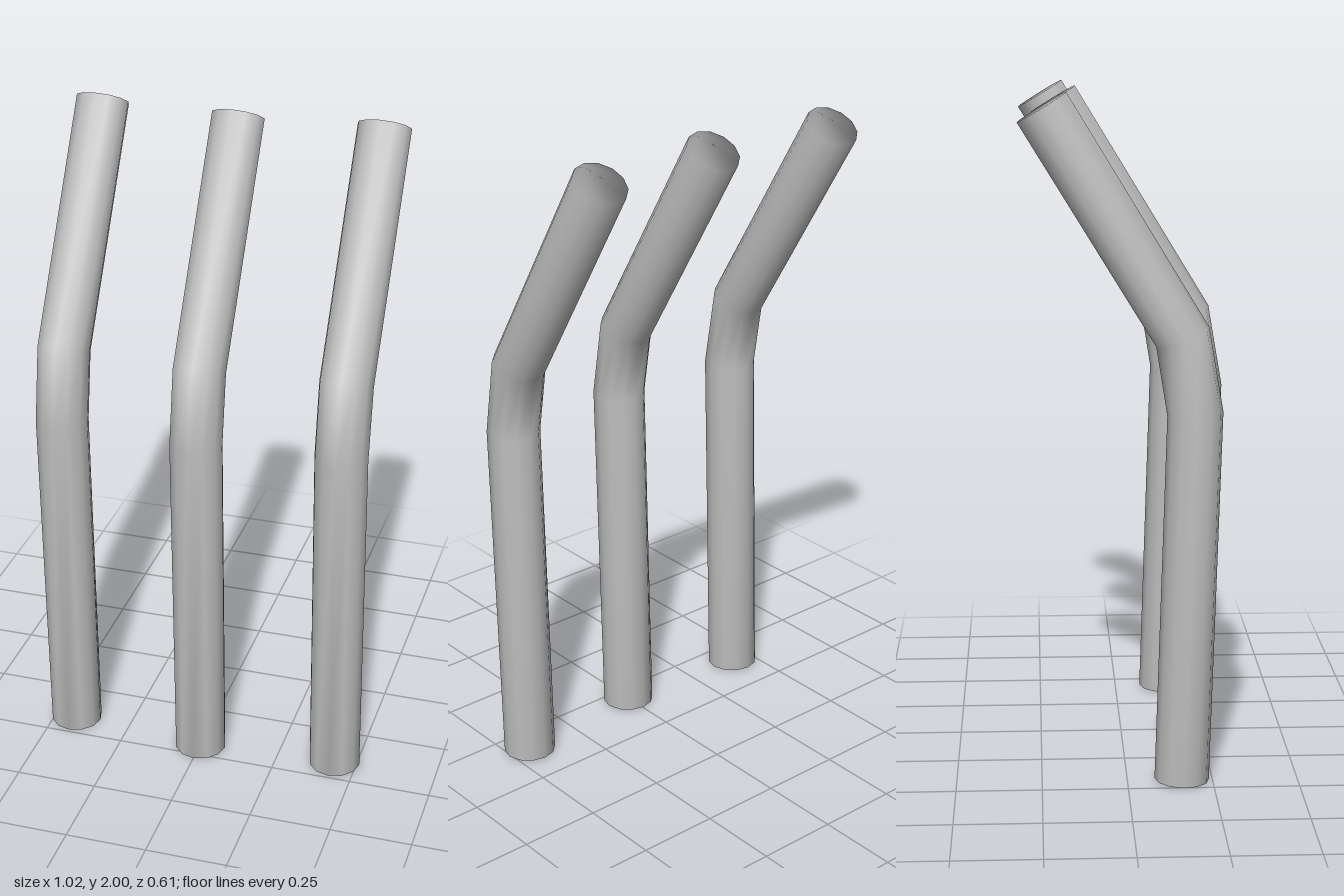
import * as THREE from 'three';

const SIDES = 12, RADIUS = 0.08;

// Centreline of a bent pipe: z, y and backward tilt of each mitred ring
const RINGS = [
  { z: 0.16, y: 0.003, tilt: -0.032 },
  { z: 0.193, y: 1.095, tilt: 0.07 },
  { z: 0.156, y: 1.316, tilt: 0.36 },
  { z: -0.238, y: 1.959, tilt: 0.546 },
];

// Closed tube lofted through the rings; caps share vertices with the wall
function bentPipeGeometry() {
  const positions = [], index = [];
  for (const { z, y, tilt } of RINGS) {
    for (let j = 0; j < SIDES; j++) {
      const a = (j / SIDES) * Math.PI * 2;
      const forward = RADIUS * Math.cos(a);
      positions.push(RADIUS * Math.sin(a), y + forward * Math.sin(tilt), z + forward * Math.cos(tilt));
    }
  }
  for (let i = 0; i < RINGS.length - 1; i++) {
    for (let j = 0; j < SIDES; j++) {
      const a = i * SIDES + j, b = i * SIDES + ((j + 1) % SIDES);
      index.push(a, b, b + SIDES, a, b + SIDES, a + SIDES);
    }
  }
  const top = (RINGS.length - 1) * SIDES;
  for (let j = 1; j < SIDES - 1; j++) {
    index.push(0, j + 1, j);
    index.push(top, top + j, top + j + 1);
  }
  const geometry = new THREE.BufferGeometry();
  geometry.setAttribute('position', new THREE.Float32BufferAttribute(positions, 3));
  geometry.setIndex(index);
  geometry.computeVertexNormals();
  return geometry;
}

export function createModel() {
  const group = new THREE.Group();
  group.name = 'bentPipes';
  const grey = new THREE.MeshStandardMaterial({ color: 0xc0c0c0 });
  grey.name = 'grey';
  const geometry = bentPipeGeometry();

  // Three matching pipes, the middle one set slightly forward
  const pipes = [['rightPipe', -0.43, 0], ['middlePipe', 0, 0.033], ['leftPipe', 0.43, 0]];
  for (const [name, x, z] of pipes) {
    const pipe = new THREE.Mesh(geometry, grey);
    pipe.name = name;
    pipe.position.set(x, 0, z);
    group.add(pipe);
  }
  return group;
}
